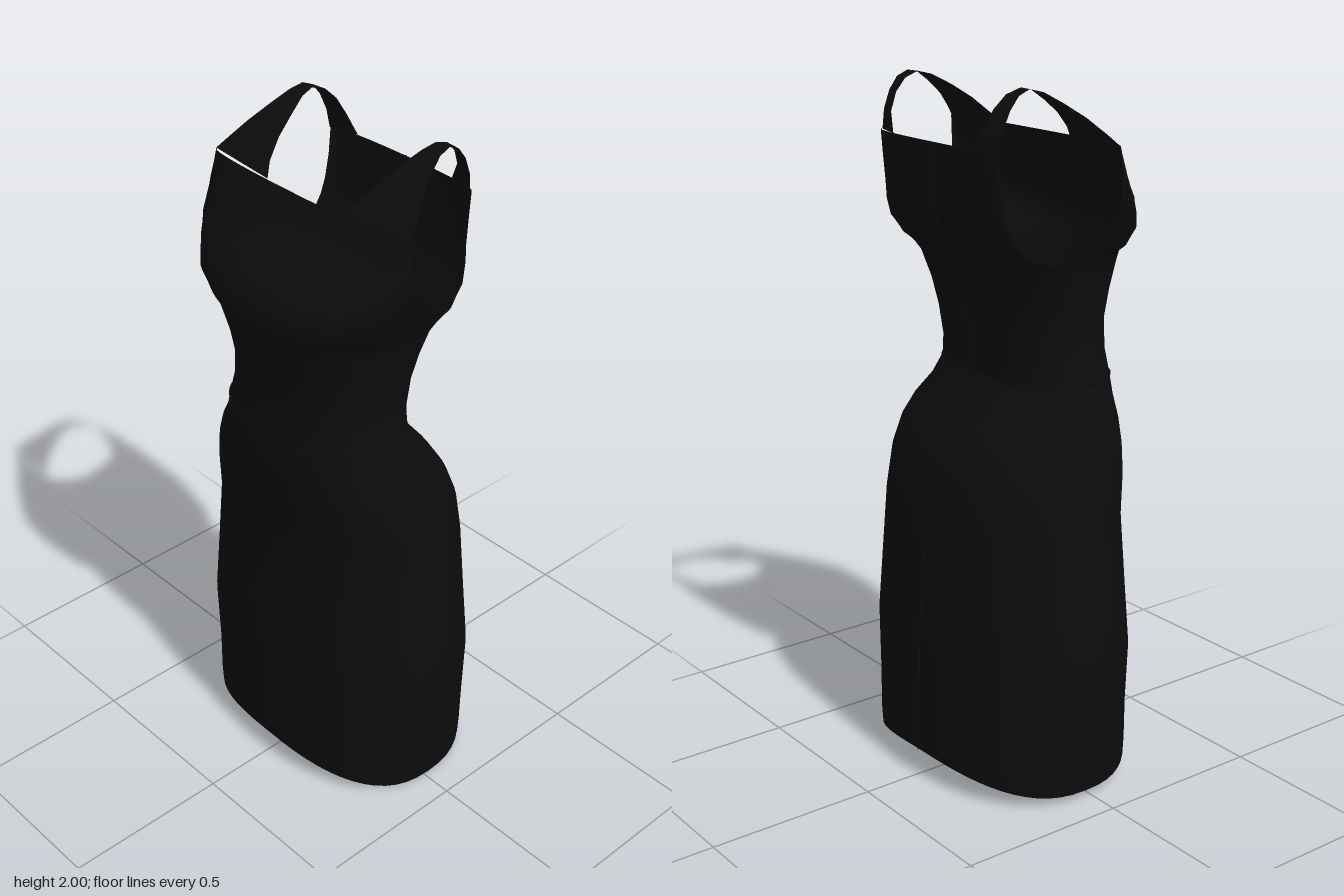
import * as THREE from 'three';
import { mergeGeometries, mergeVertices } from 'three/addons/utils/BufferGeometryUtils.js';

const COLS = 28;
const POWER = 2.4;
const fabric = new THREE.MeshStandardMaterial({ color: 0x0c0c0c, side: THREE.DoubleSide });
fabric.name = 'black fabric';

// Rows: y, centre x, half width, side edge z, peak z
const skirtFront = [
  [0, 0, 0.402, -0.02, 0.28], [0.06, 0, 0.405, -0.02, 0.282], [0.2, 0, 0.413, -0.02, 0.275],
  [0.4, 0, 0.425, -0.02, 0.275], [0.6, 0, 0.407, -0.02, 0.265], [0.8, 0, 0.392, -0.02, 0.252],
  [0.92, 0, 0.386, -0.01, 0.26], [1.0, 0.003, 0.372, 0, 0.265], [1.06, 0.008, 0.345, 0.02, 0.27],
  [1.12, 0.013, 0.305, 0.05, 0.27], [1.18, 0.015, 0.283, 0.07, 0.265],
];
const skirtBackZ = [-0.32, -0.323, -0.317, -0.312, -0.3, -0.285, -0.262, -0.225, -0.185, -0.135, -0.1];
const bodiceFront = [
  [1.18, 0.015, 0.283, 0.07, 0.265], [1.25, 0.015, 0.267, 0.06, 0.257], [1.34, 0.017, 0.268, 0.05, 0.257],
  [1.42, 0.017, 0.282, 0.03, 0.275], [1.5, 0.017, 0.298, 0, 0.303], [1.53, 0.017, 0.31, -0.02, 0.313],
  [1.55, 0.017, 0.32, 0.05, 0.318], [1.6, 0.017, 0.34, 0.1, 0.325], [1.65, 0.016, 0.36, 0.104, 0.295],
  [1.7, 0.015, 0.382, 0.105, 0.245], [1.77, 0.015, 0.384, 0.105, 0.175], [1.845, 0.015, 0.377, 0.098, 0.125],
];
const bodiceBack = [
  [1.18, 0.015, 0.283, 0.07, -0.1], [1.25, 0.015, 0.267, 0.06, -0.105], [1.34, 0.017, 0.268, 0.05, -0.12],
  [1.42, 0.017, 0.282, 0.03, -0.135], [1.5, 0.017, 0.298, 0, -0.16], [1.53, 0.017, 0.31, -0.02, -0.18],
  [1.55, 0.017, 0.305, -0.1, -0.19], [1.6, 0.017, 0.29, -0.17, -0.21], [1.65, 0.016, 0.28, -0.19, -0.228],
  [1.7, 0.015, 0.272, -0.2, -0.233], [1.77, 0.015, 0.268, -0.21, -0.24], [1.845, 0.015, 0.268, -0.217, -0.243],
];
// Strap stations over the shoulder: y, inner x, inner z, outer x, outer z
const strapPath = [
  [1.845, 0.14, 0.12, 0.377, 0.098], [1.875, 0.17, 0.085, 0.357, 0.07], [1.92, 0.19, 0.035, 0.328, 0.022],
  [1.96, 0.207, -0.025, 0.302, -0.035], [1.99, 0.225, -0.08, 0.283, -0.085], [2.0, 0.232, -0.12, 0.276, -0.125],
  [1.985, 0.228, -0.165, 0.276, -0.16], [1.95, 0.222, -0.2, 0.275, -0.187], [1.9, 0.21, -0.226, 0.272, -0.208],
  [1.845, 0.18, -0.24, 0.268, -0.217],
];

// Surface through rows of points, facing outward
function grid(rows) {
  const n = rows[0].length, index = [];
  for (let j = 0; j < rows.length - 1; j++) {
    for (let i = 0; i < n - 1; i++) {
      const a = j * n + i, b = a + 1, c = a + n, d = c + 1;
      index.push(a, b, d, a, d, c);
    }
  }
  const geometry = new THREE.BufferGeometry();
  geometry.setAttribute('position', new THREE.Float32BufferAttribute(rows.flat(2), 3));
  geometry.setIndex(index);
  return geometry;
}

// Half of a rounded-box section, with the hem dipping at the sides
function halfSection([y, cx, w, edge, peak], back) {
  const points = [];
  for (let i = 0; i <= COLS; i++) {
    const a = Math.PI * (1 - i / COLS);
    const c = Math.sign(Math.cos(a)) * Math.abs(Math.cos(a)) ** (2 / POWER);
    const s = Math.abs(Math.sin(a)) ** (2 / POWER);
    const side = back ? -c : c;
    const hem = (0.07 * (1 - side * side) + 0.01 * (1 - side)) * Math.max(0, 1 - y / 0.5);
    points.push([cx + side * w, y + hem, edge + (peak - edge) * s]);
  }
  return points;
}

function shell(front, back) {
  const geometry = mergeVertices(mergeGeometries([
    grid(front.map((r) => halfSection(r, false))),
    grid(back.map((r) => halfSection(r, true))),
  ]), 1e-4);
  geometry.computeVertexNormals();
  return geometry;
}

function strap(side) {
  const rows = strapPath.map(([y, xi, zi, xo, zo]) => {
    const row = [0, 1 / 3, 2 / 3, 1].map((t) => [
      0.012 + side * THREE.MathUtils.lerp(xi, xo, t), y, THREE.MathUtils.lerp(zi, zo, t),
    ]);
    return side > 0 ? row : row.reverse();
  });
  const geometry = grid(rows);
  geometry.computeVertexNormals();
  return geometry;
}

export function createModel() {
  const dress = new THREE.Group();
  dress.name = 'dress';
  const add = (name, geometry) => {
    const mesh = new THREE.Mesh(geometry, fabric);
    mesh.name = name;
    dress.add(mesh);
  };

  const skirtBack = skirtFront.map(([y, cx, w, edge], i) => [y, cx, w, edge, skirtBackZ[i]]);
  add('skirt', shell(skirtFront, skirtBack));
  add('bodice', shell(bodiceFront, bodiceBack));
  add('leftStrap', strap(1));
  add('rightStrap', strap(-1));

  // Fine raised seams around the waist and down the centre back
  const waist = [
    ...halfSection(skirtFront.at(-1), false).slice(0, -1),
    ...halfSection(skirtBack.at(-1), true).slice(0, -1),
  ].map((p) => new THREE.Vector3(...p));
  add('waistSeam', new THREE.TubeGeometry(new THREE.CatmullRomCurve3(waist, true), 80, 0.004, 5, true));

  const spine = [...skirtBack, ...bodiceBack.slice(1)].map((r) => new THREE.Vector3(...halfSection(r, true)[COLS / 2]));
  add('backSeam', new THREE.TubeGeometry(new THREE.CatmullRomCurve3(spine), 60, 0.004, 5));
  return dress;
}
